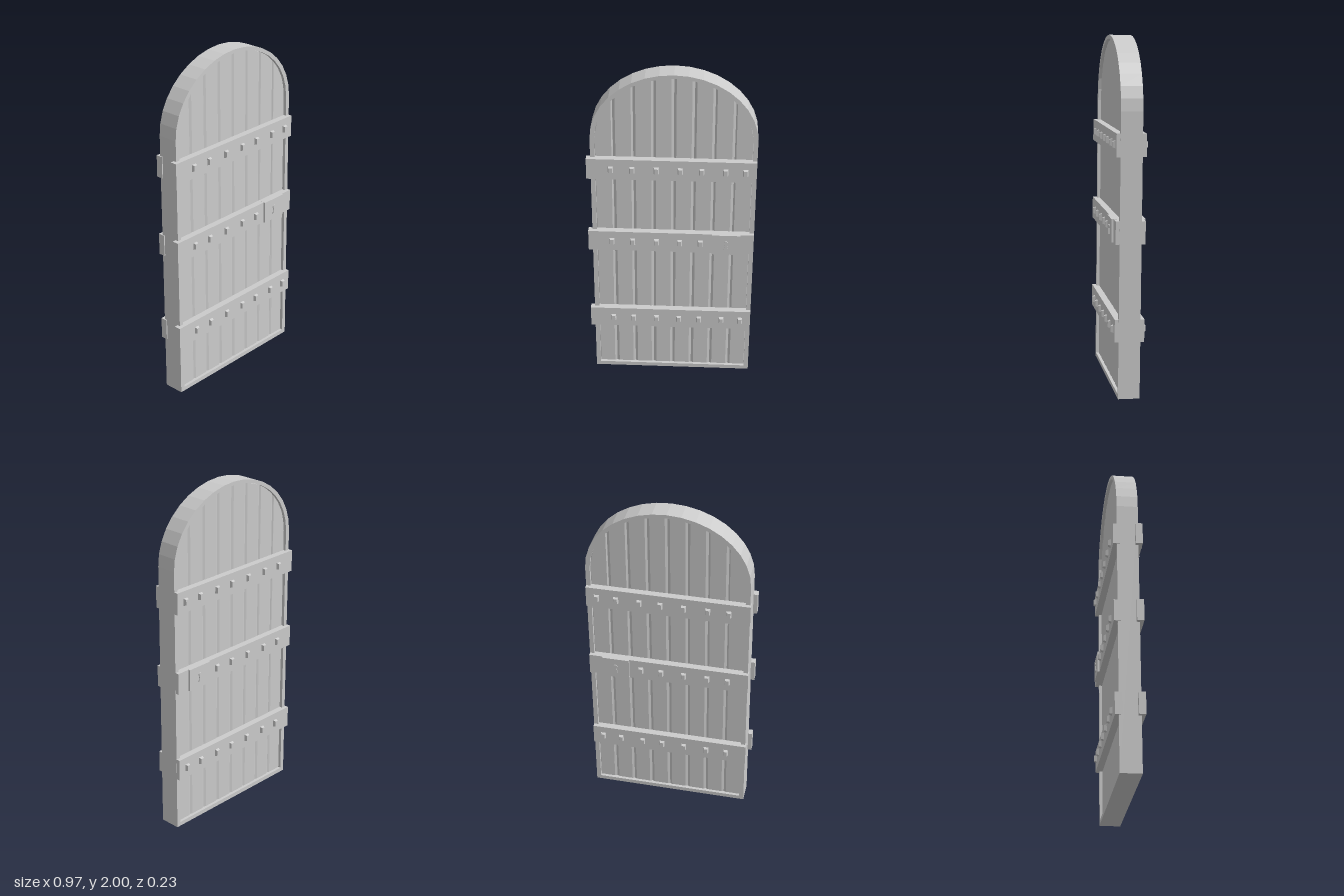
import * as THREE from 'three';

const material = new THREE.MeshStandardMaterial({ color: 0xcccccc, flatShading: true });
const CX = 0.008, HALF = 0.467, SPRING = 1.6, TOP = 2;

function add(parent, name, geometry, x = 0, y = 0, z = 0) {
  const mesh = new THREE.Mesh(geometry, material);
  mesh.name = name;
  mesh.position.set(x, y, z);
  parent.add(mesh);
  return mesh;
}

// Door outline with an elliptical head, shrunk by an inset
function archPoints(inset, bottom, segments = 18) {
  const w = HALF - inset, h = TOP - SPRING - inset * 0.8;
  const pts = [new THREE.Vector2(CX - w, bottom), new THREE.Vector2(CX + w, bottom)];
  for (let i = 0; i <= segments; i++) {
    const a = (i / segments) * Math.PI;
    pts.push(new THREE.Vector2(CX + w * Math.cos(a), SPRING + h * Math.sin(a)));
  }
  return pts;
}

// Rim around the planks
function frameGeometry() {
  const shape = new THREE.Shape(archPoints(0, 0));
  shape.holes.push(new THREE.Path(archPoints(0.026, 0.025).reverse()));
  return new THREE.ExtrudeGeometry(shape, { depth: 0.122, bevelEnabled: false }).translate(0, 0, -0.061);
}

// One upright board whose top follows the arch, with softened long edges
function plankGeometry(x0, x1) {
  const w = HALF - 0.014, h = TOP - SPRING - 0.012;
  const shape = new THREE.Shape();
  shape.moveTo(x0, 0.01);
  shape.lineTo(x1, 0.01);
  for (let i = 0; i <= 5; i++) {
    const x = x1 + (x0 - x1) * (i / 5);
    const t = Math.min(1, Math.abs((x - CX) / w));
    shape.lineTo(x, SPRING + 0.02 + (h - 0.02) * Math.sqrt(1 - t * t));
  }
  return new THREE.ExtrudeGeometry(shape, {
    depth: 0.076, bevelEnabled: true, bevelThickness: 0.006, bevelSize: 0.014, bevelOffset: -0.014, bevelSegments: 1,
  }).translate(0, 0, -0.038);
}

// Tapered square stud, base at z = 0 and pointing to +z
function studGeometry(w, h, d) {
  const g = new THREE.BoxGeometry(w, h, d).translate(0, 0, d / 2);
  const p = g.attributes.position;
  for (let i = 0; i < p.count; i++) {
    if (p.getZ(i) > d / 2) p.setXY(i, p.getX(i) * 0.65, p.getY(i) * 0.75);
  }
  g.computeVertexNormals();
  return g;
}

// Round head with a flared foot
function keyholeGeometry() {
  const s = new THREE.Shape();
  s.moveTo(-0.013, -0.03);
  s.lineTo(0.013, -0.03);
  s.lineTo(0.006, 0.004);
  s.absarc(0, 0.014, 0.012, -1.0, Math.PI + 1.0, false);
  s.lineTo(-0.006, 0.004);
  s.closePath();
  return new THREE.ExtrudeGeometry(s, { depth: 0.006, bevelEnabled: false, curveSegments: 5 });
}

export function createModel() {
  const model = new THREE.Group();
  model.name = 'archedDoor';
  const door = new THREE.Group();
  door.name = 'door';
  // The door hangs slightly askew
  door.rotation.set(-0.01, -0.032, -0.005);
  door.position.y = 1;
  model.add(door);
  const parts = new THREE.Group();
  parts.name = 'doorParts';
  parts.position.y = -1;
  door.add(parts);

  add(parts, 'frame', frameGeometry());

  // Planks
  const count = 8, left = CX - HALF + 0.014, pitch = (2 * HALF - 0.028) / count;
  for (let i = 0; i < count; i++) {
    add(parts, 'plank', plankGeometry(left + i * pitch, left + (i + 1) * pitch));
  }
  // Core closing the grooves between planks
  add(parts, 'plankCore', new THREE.ExtrudeGeometry(new THREE.Shape(archPoints(0.02, 0.01)), {
    depth: 0.074, bevelEnabled: false,
  }), 0, 0, -0.037);

  // Straps, studs and lock on both faces
  const studX = [-0.345, -0.225, -0.088, 0.046, 0.166, 0.3, 0.412];
  const strapY = [1.417, 0.937, 0.388];
  for (const side of [1, -1]) {
    const face = new THREE.Group();
    face.name = side > 0 ? 'frontIronwork' : 'backIronwork';
    parts.add(face);
    const turn = side > 0 ? 0 : Math.PI;
    const x0 = side > 0 ? -0.482 : -0.465, x1 = 0.474;
    strapY.forEach((y, row) => {
      add(face, 'strap', new THREE.BoxGeometry(x1 - x0, 0.128, 0.04), (x0 + x1) / 2, y, side * 0.063);
      const xs = row === 1 ? studX.slice(0, 5) : studX;
      for (const x of xs) {
        add(face, 'stud', studGeometry(0.03, 0.042, 0.016), x, y, side * 0.082).rotation.y = turn;
      }
    });
    add(face, 'lockPlate', studGeometry(0.16, 0.126, 0.016).scale(1, 1, 1), 0.315, strapY[1], side * 0.08)
      .geometry = new THREE.BoxGeometry(0.162, 0.13, 0.03);
    add(face, 'keyhole', keyholeGeometry(), 0.315, strapY[1], side * 0.094).rotation.y = turn;
  }
  return model;
}
